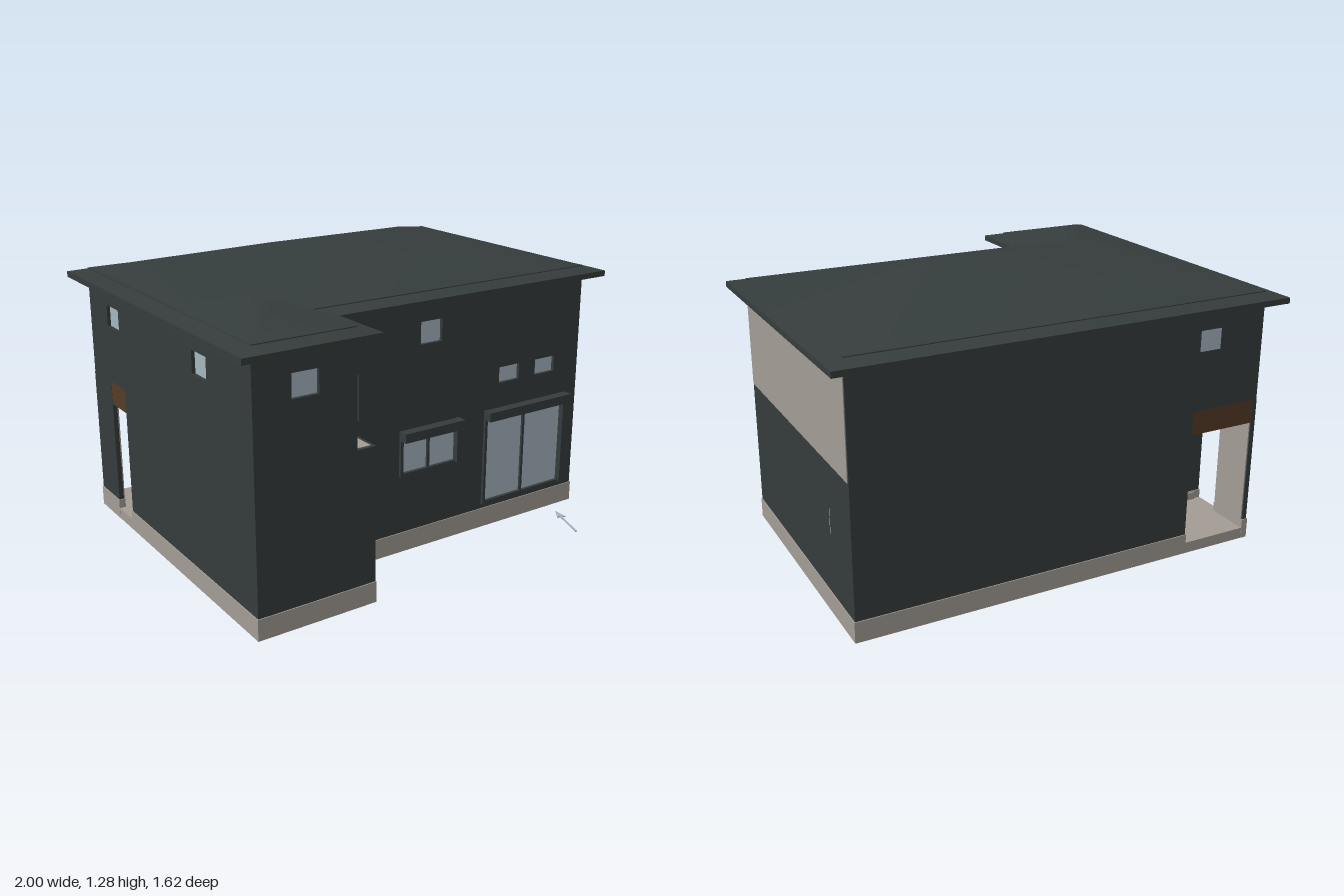
import * as THREE from 'three';

const mat = (name, color) => {
  const m = new THREE.MeshStandardMaterial({ color });
  m.name = name;
  return m;
};

export function createModel() {
  const house = new THREE.Group();
  house.name = 'house';
  const wall = mat('dark cladding', 0x353c3c);
  const roofing = mat('roof slate', 0x353d3c);
  const stone = mat('pale render', 0xa29c95);
  const glass = mat('window glass', 0xa5b5bf);
  const timber = mat('porch timber', 0x553b26);
  const under = mat('floor underside', 0x483629);

  const add = (name, geo, material, parent = house) => {
    const m = new THREE.Mesh(geo, material);
    m.name = name;
    parent.add(m);
    return m;
  };
  // Box given by its minimum and maximum corners
  const box = (name, material, [x0, y0, z0], [x1, y1, z1], parent) => {
    const g = new THREE.BoxGeometry(x1 - x0, y1 - y0, z1 - z0);
    g.translate((x0 + x1) / 2, (y0 + y1) / 2, (z0 + z1) / 2);
    return add(name, g, material, parent);
  };
  const points = (pts, sx, sy) => pts.map(([a, b]) => new THREE.Vector2(a * sx, b * sy));
  const rect = (a0, a1, b0, b1) => [[a0, b0], [a1, b0], [a1, b1], [a0, b1]];
  // Upright prism over a plan outline of [x, z] points
  const prism = (name, material, pts, y0, y1, hole) => {
    const s = new THREE.Shape(points(pts, 1, -1));
    if (hole) s.holes.push(new THREE.Path(points(hole, 1, -1)));
    const g = new THREE.ExtrudeGeometry(s, { depth: y1 - y0, bevelEnabled: false });
    g.rotateX(-Math.PI / 2).translate(0, y0, 0);
    return add(name, g, material);
  };
  // L-shaped plan with the porch corner cut out; t insets the outside, n the porch cut
  const notched = (t, n = t) => [
    [-0.93 + t, 0.745 - t], [-0.405 - t, 0.745 - t], [-0.405 - t, 0.45 - t], [0.93 - t, 0.45 - t],
    [0.93 - t, -0.74 + t], [-0.595 + n, -0.74 + t], [-0.595 + n, -0.4 + n], [-0.93 + t, -0.4 + n],
  ];

  // Foundation ring, deeply recessed floor and the lowered entrance hall
  prism('foundation', stone, notched(-0.004), 0, 0.09, notched(0.04));
  prism('floorUnderside', under, notched(0.03), 0.083, 0.089);
  box('entranceHallBase', stone, [-0.9, 0.02, -0.41], [-0.585, 0.085, -0.17]);

  // Solid core of both storeys, set back behind the cladding
  const T = 0.02, top = 1.141;
  prism('lowerCore', wall, notched(T, 0), 0.088, 0.655);
  prism('upperCore', wall, [
    [-0.93 + T, 0.745 - T], [-0.49 - T, 0.745 - T], [-0.49 - T, 0.45 - T],
    [0.93 - T, 0.45 - T], [0.93 - T, -0.74 + T], [-0.93 + T, -0.74 + T],
  ], 0.655, 1.1);

  // Cladding panel with window openings, turned to its side of the house
  const turns = { front: 0, right: Math.PI / 2, back: Math.PI, left: -Math.PI / 2 };
  const cladding = (name, side, dist, outline, windows = []) => {
    const g = new THREE.Group();
    g.name = name;
    g.rotation.y = turns[side];
    const s = side === 'right' || side === 'back' ? -1 : 1;
    const shape = new THREE.Shape(points(outline, s, 1));
    for (const { at } of windows) shape.holes.push(new THREE.Path(points(rect(...at), s, 1)));
    const geo = new THREE.ExtrudeGeometry(shape, { depth: T, bevelEnabled: false });
    add('cladding', geo.translate(0, 0, dist - T), wall, g);
    for (const { at: [u0, u1, y0, y1], shutter } of windows) {
      const a = Math.min(u0 * s, u1 * s), b = Math.max(u0 * s, u1 * s);
      box('pane', glass, [a, y0, dist - T - 0.001], [b, y1, dist - T + 0.005], g);
      if (!shutter) continue;
      // Sliding pair: mullion, side rails and roller shutter box
      const m = (a + b) / 2;
      box('mullion', wall, [m - 0.006, y0, dist - T], [m + 0.006, y1, dist - 0.005], g);
      box('railLeft', wall, [a - 0.014, y0 - 0.008, dist], [a, y1 + 0.005, dist + 0.012], g);
      box('railRight', wall, [b, y0 - 0.008, dist], [b + 0.014, y1 + 0.005, dist + 0.012], g);
      box('shutterBox', wall, [a - 0.014, y1 + 0.005, dist], [b + 0.014, y1 + 0.046, dist + 0.045], g);
    }
    house.add(g);
  };
  cladding('wingFront', 'front', 0.745,
    [[-0.93, 0.09], [-0.405, 0.09], [-0.405, 0.66], [-0.49, 0.66], [-0.49, top], [-0.93, top]],
    [{ at: [-0.77, -0.655, 0.915, 1.012] }]);
  cladding('mainFront', 'front', 0.45,
    [[-0.405, 0.09], [0.93, 0.09], [0.93, top], [-0.49, top], [-0.49, 0.645], [-0.405, 0.645]],
    [
      { at: [-0.392, -0.282, 0.645, 0.842] },
      { at: [0.025, 0.135, 0.915, 1.012] },
      { at: [0.46, 0.575, 0.67, 0.742] },
      { at: [0.67, 0.785, 0.67, 0.742] },
      { at: [-0.064, 0.225, 0.36, 0.51], shutter: true },
      { at: [0.395, 0.85, 0.12, 0.51], shutter: true },
    ]);
  cladding('mainRight', 'right', 0.93, rect(-0.74, 0.45, 0.09, 1.125), [{ at: [-0.51, -0.46, 0.33, 0.465] }]);
  cladding('wingRightLower', 'right', -0.405, rect(0.44, 0.745, 0.09, 0.66), [{ at: [0.543, 0.63, 0.33, 0.465] }]);
  cladding('wingRightUpper', 'right', -0.49, rect(0.44, 0.745, 0.65, 1.11));
  cladding('backWall', 'back', 0.74,
    [[-0.595, 0.09], [0.93, 0.09], [0.93, top], [-0.93, top], [-0.93, 0.66], [-0.595, 0.66]],
    [{ at: [-0.725, -0.61, 0.915, 1.012] }]);
  cladding('leftWall', 'left', 0.93,
    [[-0.4, 0.09], [0.745, 0.09], [0.745, top], [-0.74, top], [-0.74, 0.66], [-0.4, 0.66]],
    [{ at: [-0.545, -0.42, 0.915, 1.012] }, { at: [0.28, 0.4, 0.915, 1.012] }]);
  box('ledgeTop', stone, [-0.49, 0.65, 0.45], [-0.42, 0.662, 0.73]);
  box('sidePanel', stone, [0.925, 0.66, -0.732], [0.933, 1.1, 0.443]);

  // Corner porch
  box('porchFloor', stone, [-0.934, 0, -0.744], [-0.585, 0.05, -0.39]);
  box('postBase', stone, [-0.935, 0, -0.745], [-0.905, 0.09, -0.545]);
  box('porchPost', wall, [-0.931, 0.09, -0.741], [-0.91, 0.66, -0.55]);
  box('postLining', stone, [-0.911, 0.05, -0.736], [-0.905, 0.555, -0.55]);
  box('porchHeader', timber, [-0.93, 0.555, -0.74], [-0.595, 0.66, -0.4]);

  // Flat eave slab
  prism('eaves', roofing, [
    [-1, 0.81], [-0.42, 0.81], [-0.42, 0.52], [1, 0.52], [1, -0.81], [-1, -0.81],
  ], 1.095, 1.12);

  // Hipped roof over a rectangle, softly shaded across the hips
  const hipRoof = (name, x0, x1, z0, z1, ridge) => {
    const e = 1.12, h = Math.min(x1 - x0, z1 - z0) / 2;
    const verts = [
      x0, e, z0, x0, e, z1, x1, e, z1, x1, e, z0,
      x0 + h, ridge, z0 + h, x1 - h, ridge, z1 - h,
    ];
    const wide = x1 - x0 > z1 - z0;
    const faces = wide
      ? [[0, 1, 4], [2, 5, 4, 1], [2, 3, 5], [0, 4, 5, 3]]
      : [[3, 0, 4], [1, 5, 4, 0], [1, 2, 5], [3, 4, 5, 2]];
    const index = [];
    for (const f of faces) for (let i = 1; i < f.length - 1; i++) index.push(f[0], f[i], f[i + 1]);
    const g = new THREE.BufferGeometry();
    g.setAttribute('position', new THREE.Float32BufferAttribute(verts, 3));
    g.setIndex(index);
    g.computeVertexNormals();
    add(name, g, roofing);
  };
  hipRoof('mainRoof', -1, 1, -0.81, 0.52, 1.285);
  hipRoof('wingRoof', -1, -0.42, 0.03, 0.81, 1.197);

  // Flat pointer lying on the ground
  const arrow = new THREE.Shape(points([
    [-0.004, 0], [0.004, 0], [0.004, 0.16], [0.02, 0.155], [0, 0.218], [-0.02, 0.155], [-0.004, 0.16],
  ], 1, 1));
  const ag = new THREE.ExtrudeGeometry(arrow, { depth: 0.005, bevelEnabled: false });
  ag.rotateX(-Math.PI / 2).rotateY(-0.34).translate(0.703, 0, 0.735);
  add('groundPointer', ag, glass);

  return house;
}
